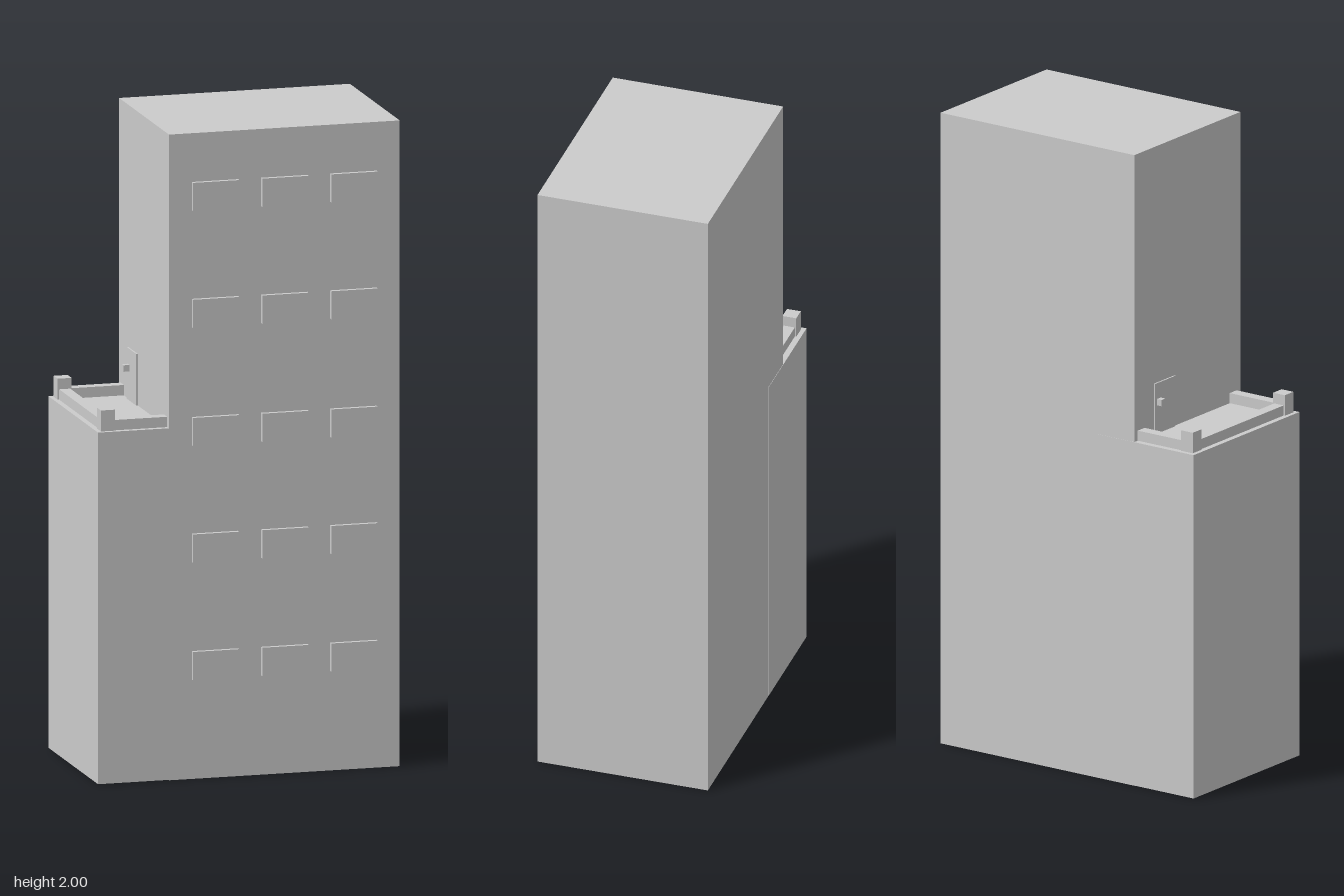
import * as THREE from 'three';

export function createModel() {
  const model = new THREE.Group();
  model.name = 'building';
  const material = new THREE.MeshStandardMaterial({ color: 0xcccccc, flatShading: true });

  // Box given by its lower and upper limits on each axis
  function box(name, [x0, x1], [y0, y1], [z0, z1], parent = model) {
    const mesh = new THREE.Mesh(new THREE.BoxGeometry(x1 - x0, y1 - y0, z1 - z0), material);
    mesh.position.set((x0 + x1) / 2, (y0 + y1) / 2, (z0 + z1) / 2);
    mesh.name = name;
    parent.add(mesh);
  }

  // Main tower and the lower wing that runs partly into it
  const roofY = 1.09;
  box('tower', [-0.252, 0.475], [0, 2], [-0.279, 0.264]);
  box('lowerWing', [-0.475, -0.112], [0.001, roofY], [-0.28, 0.262]);

  // Window panels: five floors of three
  const windows = new THREE.Group();
  windows.name = 'windows';
  model.add(windows);
  for (const y of [0.352, 0.716, 1.077, 1.443, 1.805]) {
    for (const x of [-0.107, 0.111, 0.329]) {
      box('window', [x - 0.073, x + 0.073], [y - 0.044, y + 0.044], [0.25, 0.278], windows);
    }
  }

  // Terrace parapet: corner posts with low rails between them
  const parapet = new THREE.Group();
  parapet.name = 'parapet';
  model.add(parapet);
  const railTop = 1.122;
  const postX = -0.44;
  const postZ = [-0.244, 0.227];
  for (const z of postZ) {
    box('cornerPost', [postX - 0.022, postX + 0.022], [roofY, 1.155], [z - 0.022, z + 0.022], parapet);
    box('sideRail', [postX, -0.25], [roofY, railTop], [z - 0.0175, z + 0.0175], parapet);
  }
  box('outerRail', [postX - 0.0175, postX + 0.0175], [roofY, railTop], postZ, parapet);

  // Terrace door with its knob
  box('terraceDoor', [-0.257, -0.245], [roofY, 1.25], [-0.179, -0.076]);
  box('doorKnob', [-0.275, -0.256], [1.18, 1.2], [-0.17, -0.151]);

  return model;
}
